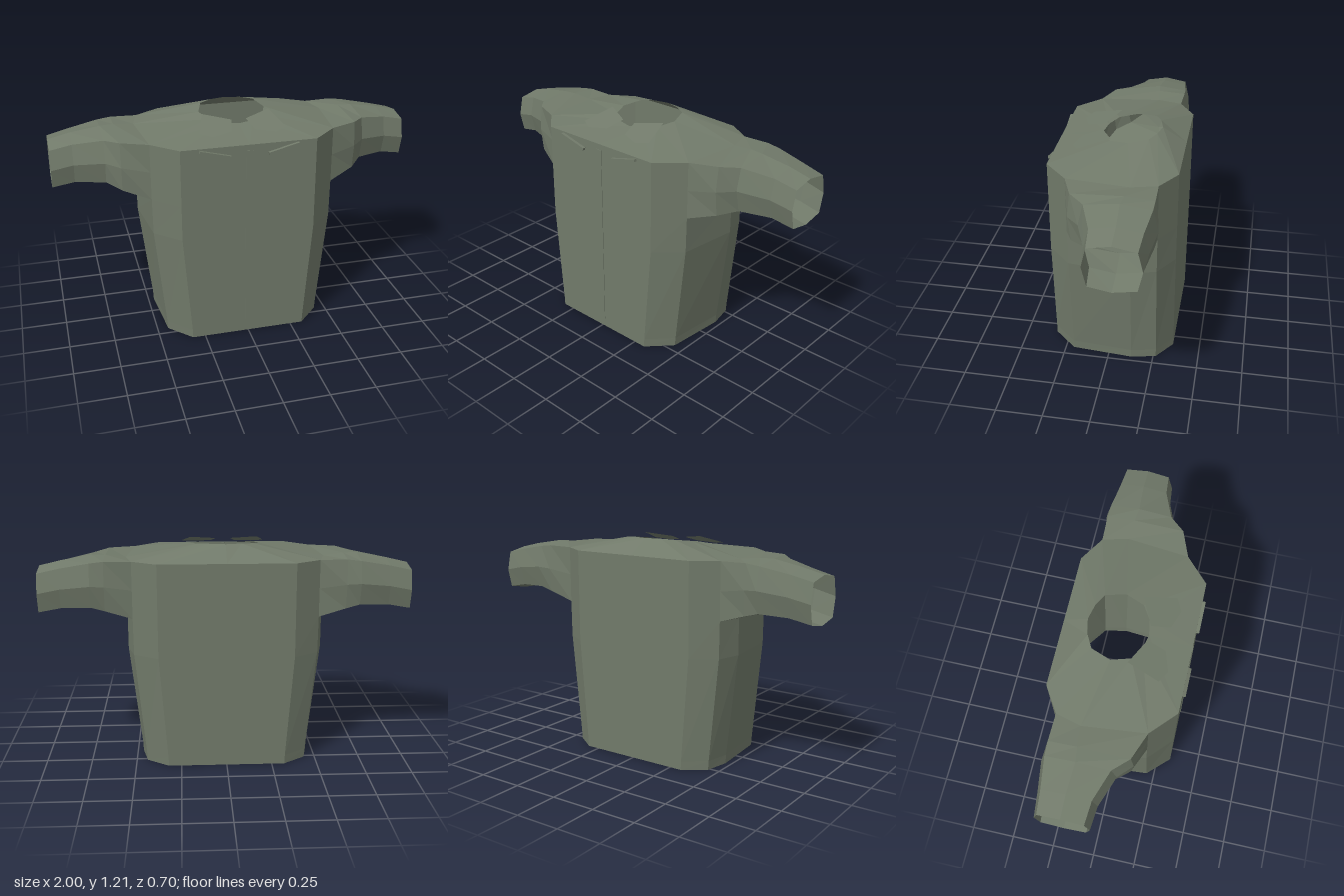
import * as THREE from 'three';

const fabric = new THREE.MeshStandardMaterial({ color: 0x717a6a, flatShading: true, side: THREE.DoubleSide });
fabric.name = 'olive fabric';

// Faceted skin through a list of rings, each with the same number of [x, y, z] points
function loft(name, rings, closed = true) {
  const pos = [];
  for (let r = 0; r < rings.length - 1; r++) {
    const a = rings[r], b = rings[r + 1], n = a.length;
    for (let i = 0; i < (closed ? n : n - 1); i++) {
      const j = (i + 1) % n;
      pos.push(...a[i], ...a[j], ...b[j], ...a[i], ...b[j], ...b[i]);
    }
  }
  const geo = new THREE.BufferGeometry();
  geo.setAttribute('position', new THREE.Float32BufferAttribute(pos, 3));
  geo.computeVertexNormals();
  const mesh = new THREE.Mesh(geo, fabric);
  mesh.name = name;
  return mesh;
}

// Full ring from a half outline that runs front centre -> left side -> back centre
function mirrorRing(half) {
  const other = half.slice(1, -1).reverse().map(([x, y, z]) => [-x, y, z]);
  return [...half, ...other];
}

// Torso outline at height y; corner, chamfer and side are half widths
function torsoRing(y, corner, chamfer, side) {
  return mirrorRing([
    [0, y, 0.33], [corner, y, 0.33], [chamfer, y, 0.205], [side, y, -0.13],
    [chamfer, y, -0.265], [corner, y, -0.35], [0, y, -0.35],
  ]);
}

// Eight-sided sleeve section; k squares off the corners, xm moves the top and bottom points
function sleeveRing([x, xm, yTop, yBot, zF, zB, k, zm], side) {
  const cy = (yTop + yBot) / 2, hy = (yTop - yBot) / 2 * k;
  const cz = (zF + zB) / 2, hz = (zF - zB) / 2 * k;
  const ring = [
    [xm, yTop, zm], [x, cy + hy, cz + hz], [x, cy, zF], [x, cy - hy, cz + hz],
    [xm, yBot, zm], [x, cy - hy, cz - hz], [x, cy, zB], [x, cy + hy, cz - hz],
  ].map(([px, py, pz]) => [px * side, py, pz]);
  return side > 0 ? ring : ring.reverse();
}

export function createModel() {
  const jacket = new THREE.Group();
  jacket.name = 'jacket';

  // Torso below the armholes, open at the hem
  jacket.add(loft('torso', [
    torsoRing(0, 0.32, 0.44, 0.468),
    torsoRing(0.05, 0.322, 0.443, 0.47),
    torsoRing(0.62, 0.365, 0.498, 0.535),
    torsoRing(0.82, 0.365, 0.5, 0.535),
  ]));

  // Chest and back panels between the armholes
  const chest = [[-0.5, 0.205], [-0.365, 0.33], [0.365, 0.33], [0.5, 0.205]];
  const back = [[0.5, -0.265], [0.365, -0.35], [-0.365, -0.35], [-0.5, -0.265]];
  for (const [name, line] of [['chestPanel', chest], ['backPanel', back]]) {
    jacket.add(loft(name, [0.82, 1.13].map(y => line.map(([x, z]) => [x, y, z])), false));
  }

  // Shoulder yoke rising to the open neck
  const neck = mirrorRing([
    [0, 1.165, 0.10], [0.08, 1.17, 0.085], [0.15, 1.18, 0.04], [0.185, 1.192, -0.06],
    [0.15, 1.205, -0.165], [0.085, 1.21, -0.2], [0, 1.21, -0.22],
  ]);
  jacket.add(loft('shoulderYoke', [torsoRing(1.13, 0.365, 0.5, 0.535), neck]));

  // Sleeves: x, top/bottom x, top y, bottom y, front z, back z, corner factor, middle z
  const sections = [
    [0.5, 0.535, 1.13, 0.82, 0.205, -0.265, 1, -0.13],
    [0.645, 0.645, 1.142, 0.855, 0.165, -0.285, 0.93, -0.12],
    [0.72, 0.72, 1.142, 0.866, 0.095, -0.295, 0.86, -0.11],
    [0.88, 0.88, 1.115, 0.858, 0.035, -0.275, 0.83, -0.12],
    [1, 1, 1.087, 0.835, 0.022, -0.265, 0.83, -0.12],
  ];
  for (const side of [1, -1]) {
    const label = side > 0 ? 'left' : 'right';
    jacket.add(loft(label + 'Sleeve', sections.map(s => sleeveRing(s, side))));

    // Collar flap lying just above the yoke
    const flap = new THREE.Shape([[0.185, 0.03], [0.04, 0.10], [0.065, 0.2], [0.17, 0.235], [0.235, 0.2]]
      .map(([x, z]) => new THREE.Vector2(x * side, -z)));
    const flapGeo = new THREE.ShapeGeometry(flap).rotateX(-Math.PI / 2);
    const p = flapGeo.attributes.position;
    for (let i = 0; i < p.count; i++) p.setY(i, 1.152 + (0.235 - p.getZ(i)) * 0.28);
    flapGeo.computeVertexNormals();
    const collar = new THREE.Mesh(flapGeo, fabric);
    collar.name = label + 'CollarFlap';
    jacket.add(collar);

    // Slanted chest pocket welt
    const welt = new THREE.Mesh(new THREE.BoxGeometry(0.17, 0.014, 0.018), fabric);
    welt.position.set(0.184 * side, 1.096, 0.338);
    welt.rotation.z = 0.25 * side;
    welt.name = label + 'PocketWelt';
    jacket.add(welt);
  }

  // Front zip strip
  const zip = new THREE.Mesh(new THREE.BoxGeometry(0.038, 1.05, 0.006), fabric);
  zip.position.set(0, 0.573, 0.33);
  zip.name = 'zipStrip';
  jacket.add(zip);

  return jacket;
}
